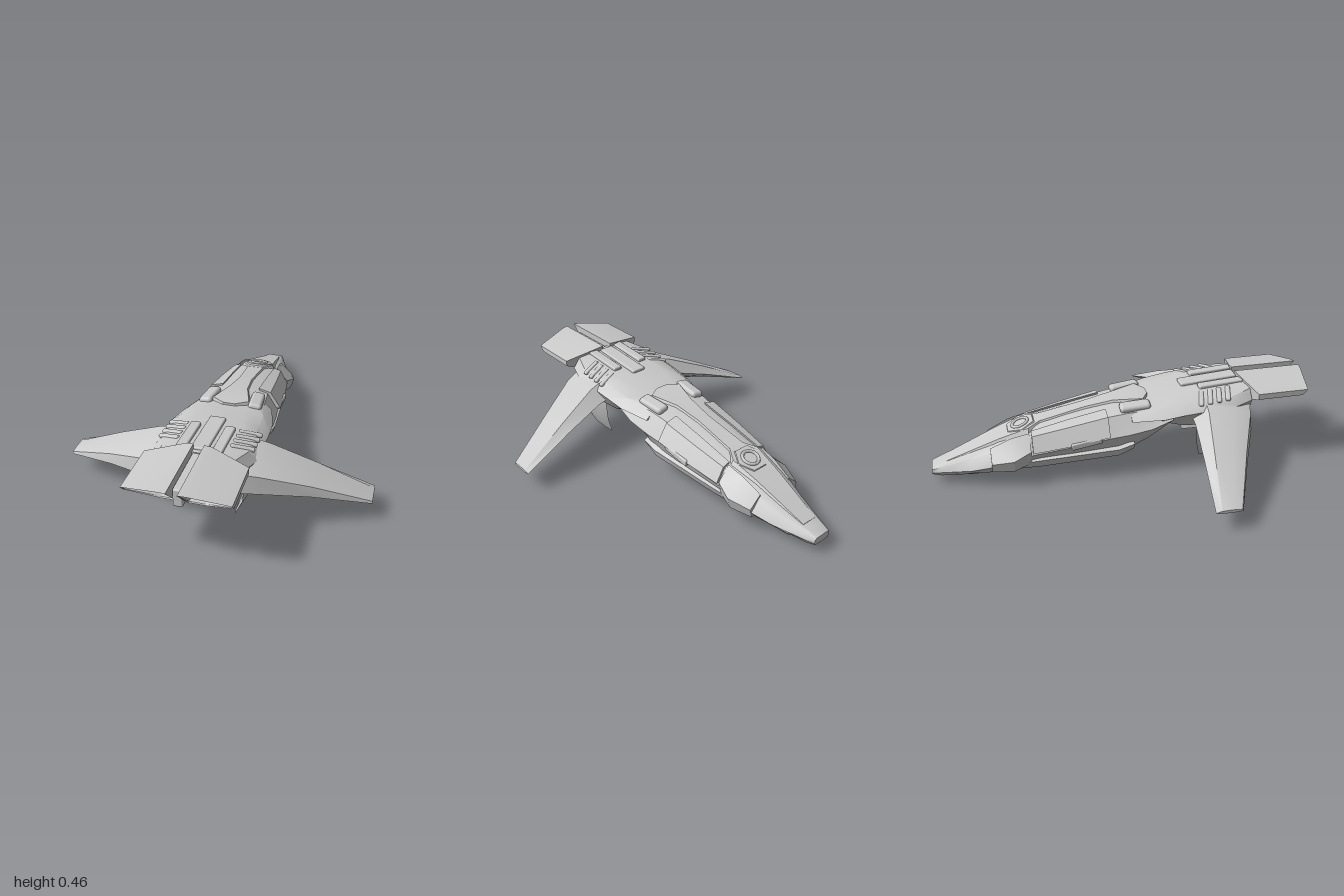
import * as THREE from 'three';
import { toCreasedNormals } from 'three/addons/utils/BufferGeometryUtils.js';
import { RoundedBoxGeometry } from 'three/addons/geometries/RoundedBoxGeometry.js';

const material = new THREE.MeshStandardMaterial({ color: 0xcccccc, roughness: 0.6 });

// Skin a list of closed rings of [x, y, z] points and cap both ends, facing outwards
function loft(rings, crease = 0.6) {
  const n = rings[0].length, tris = [];
  const mid = r => [0, 1, 2].map(k => r.reduce((s, p) => s + p[k], 0) / n);
  const first = rings[0], last = rings[rings.length - 1];
  for (let i = 0; i < n; i++) {
    const j = (i + 1) % n;
    for (let r = 0; r < rings.length - 1; r++) {
      const a = rings[r], b = rings[r + 1];
      tris.push([a[i], a[j], b[j]], [a[i], b[j], b[i]]);
    }
    tris.push([mid(first), first[j], first[i]], [mid(last), last[i], last[j]]);
  }
  let volume = 0;
  for (const [a, b, c] of tris) {
    volume += new THREE.Vector3(...a).dot(new THREE.Vector3(...b).cross(new THREE.Vector3(...c)));
  }
  if (volume < 0) tris.forEach(t => t.reverse());
  const g = new THREE.BufferGeometry();
  g.setAttribute('position', new THREE.Float32BufferAttribute(tris.flat(2), 3));
  return toCreasedNormals(g, crease);
}

// Symmetric cross-section: half outline from roof edge to chine, plus a keel height
function hullRing([z, keel, ...half]) {
  const right = half.map(([x, y]) => [x, y, z]);
  const left = half.map(([x, y]) => [-x, y, z]).reverse();
  return [...right, [0, keel, z], ...left];
}

// Sections along z of one side part, mirrored by s
const sideRings = (s, sections) => sections.map(([z, ...pts]) => pts.map(([x, y]) => [s * x, y, z]));

export function createModel() {
  const model = new THREE.Group();
  const add = (name, geometry, x = 0, y = 0, z = 0, rx = 0, ry = 0, rz = 0) => {
    const mesh = new THREE.Mesh(geometry, material);
    mesh.name = name;
    mesh.position.set(x, y, z);
    mesh.rotation.set(rx, ry, rz);
    model.add(mesh);
    return mesh;
  };
  const box = (w, h, d, r = 0.008) => new RoundedBoxGeometry(w, h, d, 2, r);

  // Main hull with a V-shaped belly
  add('hull', loft([
    [-1, 0.055, [0.04, 0.095], [0.05, 0.088], [0.052, 0.07], [0.045, 0.058]],
    [-0.955, 0.03, [0.045, 0.112], [0.06, 0.1], [0.07, 0.075], [0.055, 0.05]],
    [-0.8, 0.016, [0.06, 0.165], [0.09, 0.145], [0.125, 0.095], [0.085, 0.055]],
    [-0.65, 0.003, [0.07, 0.225], [0.12, 0.2], [0.17, 0.13], [0.12, 0.07]],
    [-0.5, 0.015, [0.07, 0.275], [0.13, 0.25], [0.172, 0.17], [0.13, 0.08]],
    [-0.3, 0.03, [0.06, 0.318], [0.14, 0.29], [0.19, 0.2], [0.15, 0.1]],
    [-0.1, 0.045, [0.06, 0.355], [0.15, 0.33], [0.208, 0.235], [0.165, 0.12]],
    [0, 0.06, [0.06, 0.37], [0.16, 0.345], [0.22, 0.25], [0.165, 0.14]],
    [0.12, 0.125, [0.06, 0.375], [0.17, 0.355], [0.23, 0.275], [0.15, 0.185]],
    [0.23, 0.255, [0.05, 0.375], [0.17, 0.355], [0.22, 0.31], [0.11, 0.28]],
  ].map(hullRing)));

  // Rear deck carrying wings and engines
  add('rearDeck', loft([
    [0.02, 0.3, [0.08, 0.36], [0.15, 0.35], [0.2, 0.31], [0.12, 0.3]],
    [0.18, 0.27, [0.1, 0.38], [0.19, 0.37], [0.24, 0.325], [0.17, 0.28]],
    [0.3, 0.275, [0.12, 0.405], [0.2, 0.385], [0.25, 0.345], [0.19, 0.255]],
    [0.55, 0.29, [0.12, 0.425], [0.21, 0.405], [0.25, 0.36], [0.2, 0.245]],
    [0.66, 0.3, [0.1, 0.435], [0.17, 0.42], [0.21, 0.37], [0.17, 0.28]],
  ].map(hullRing)));

  // Raised panel widening along the nose
  add('nosePanel', loft([
    [-0.92, 0.1, [0.042, 0.126], [0.05, 0.11]],
    [-0.65, 0.2, [0.07, 0.234], [0.085, 0.21]],
    [-0.5, 0.26, [0.085, 0.284], [0.105, 0.255]],
    [-0.43, 0.27, [0.04, 0.3], [0.055, 0.275]],
  ].map(hullRing), 0.4));

  // Dorsal spine flaring into an arrow-shaped plate
  add('dorsalSpine', loft([
    [-0.44, 0.27, [0.045, 0.297], [0.055, 0.28]],
    [-0.2, 0.32, [0.036, 0.347], [0.046, 0.33]],
    [-0.05, 0.35, [0.05, 0.375], [0.06, 0.355]],
    [0.1, 0.36, [0.095, 0.388], [0.11, 0.365]],
    [0.14, 0.365, [0.03, 0.388], [0.04, 0.37]],
  ].map(hullRing), 0.4));

  // Hexagonal hatch on the slope of the nose
  add('hatch', new THREE.CylinderGeometry(0.08, 0.098, 0.03, 6).toNonIndexed(), 0, 0.263, -0.53, -0.32, Math.PI / 6);
  add('hatchRing', new THREE.TorusGeometry(0.042, 0.009, 6, 16), 0, 0.278, -0.535, Math.PI / 2 - 0.32);

  // Trough and beam on the centreline at the rear
  add('deckTrough', box(0.08, 0.03, 0.31), 0, 0.418, 0.48, -0.07);
  add('tailBeam', box(0.045, 0.09, 0.32), 0, 0.385, 0.77);

  for (const s of [1, -1]) {
    const side = s > 0 ? 'left' : 'right';

    // Swept wing drooping to the tip, blunt along the trailing edge: [x, front, back, y, thickness]
    const wing = [[0.19, 0.335, 0.67, 0.315, 0.15], [0.28, 0.33, 0.638, 0.297, 0.135],
      [0.5, 0.302, 0.53, 0.222, 0.082], [0.78, 0.265, 0.4, 0.112, 0.016]];
    add(side + 'Wing', loft(wing.map(([x, front, back, y, t]) =>
      [[0, 0], [0.22, 0.48], [0.65, 0.45], [0.96, 0.22], [1, -0.42], [0.65, -0.5], [0.22, -0.42]]
        .map(([u, v]) => [s * x, y + v * t, front + u * (back - front)]))));

    // Lower fin tapering down and inwards
    const fin = [[0.21, 0.27, 0.36, 0.65, 0.03], [0.195, 0.15, 0.37, 0.6, 0.024], [0.148, 0.04, 0.405, 0.57, 0.008]];
    add(side + 'Fin', loft(fin.map(([x, y, front, back, t]) =>
      [[0, 0], [0.3, 0.5], [0.8, 0.4], [1, 0], [0.8, -0.4], [0.3, -0.5]]
        .map(([u, v]) => [s * (x + v * t), y, front + u * (back - front)]))));

    // Engine shell with slanted, hollow exhaust: [x, y, front z, rear z]
    const shell = [[0.025, 0.46, 0.63, 1], [0.06, 0.457, 0.63, 0.995], [0.245, 0.415, 0.68, 0.955], [0.245, 0.385, 0.68, 0.93],
      [0.17, 0.354, 0.66, 0.9], [0.1, 0.327, 0.64, 0.875], [0.025, 0.332, 0.63, 0.88]];
    const inset = (k, dz) => shell.map(([x, y, , z]) => [s * (0.12 + (x - 0.12) * k), 0.395 + (y - 0.395) * k, z + dz]);
    add(side + 'Engine', loft([
      shell.map(([x, y, z]) => [s * x, y, z]), inset(1, 0), inset(0.94, -0.005), inset(0.85, -0.12),
    ], 0.45));

    // Armour plates on cheek, shoulder and lower flank
    add(side + 'CheekPlate', loft(sideRings(s, [
      [-0.7, [0.1, 0.2], [0.165, 0.14], [0.15, 0.09], [0.09, 0.1]],
      [-0.59, [0.11, 0.25], [0.205, 0.165], [0.185, 0.1], [0.1, 0.1]],
      [-0.5, [0.115, 0.27], [0.178, 0.195], [0.16, 0.12], [0.1, 0.12]],
    ]), 0.4));
    add(side + 'ShoulderPlate', loft(sideRings(s, [
      [-0.49, [0.1, 0.275], [0.14, 0.262], [0.182, 0.185], [0.12, 0.18]],
      [-0.3, [0.1, 0.317], [0.155, 0.3], [0.207, 0.215], [0.13, 0.2]],
      [-0.1, [0.1, 0.355], [0.165, 0.338], [0.222, 0.25], [0.14, 0.24]],
    ]), 0.4));
    add(side + 'FlankPlate', loft(sideRings(s, [
      [-0.88, [0.07, 0.09], [0.1, 0.08], [0.085, 0.06], [0.06, 0.06]],
      [-0.45, [0.13, 0.16], [0.18, 0.14], [0.16, 0.095], [0.12, 0.1]],
      [-0.05, [0.16, 0.2], [0.208, 0.165], [0.195, 0.125], [0.14, 0.13]],
      [0.03, [0.16, 0.21], [0.21, 0.19], [0.19, 0.155], [0.14, 0.16]],
    ]), 0.4));

    // Gun housing set into the flank
    add(side + 'GunHousing', box(0.03, 0.035, 0.16), s * 0.198, 0.222, -0.22, -0.15);

    // Intake, long rail and rear thruster
    add(side + 'Intake', box(0.07, 0.04, 0.16, 0.018), s * 0.125, 0.365, 0.05, -0.08, s * 0.08, -s * 0.15);
    add(side + 'DeckRail', box(0.05, 0.03, 0.24), s * 0.085, 0.423, 0.525, -0.06);
    add(side + 'Thruster', box(0.06, 0.055, 0.12, 0.022), s * 0.062, 0.205, 0.13);

    // Louvres sloping outwards across the deck
    for (let i = 0; i < 4; i++) {
      add(side + 'Louvre', box(0.115, 0.018, 0.026), s * 0.178, 0.394 + i * 0.005, 0.39 + i * 0.048, 0, s * 0.3, -s * 0.24);
    }
  }
  return model;
}
